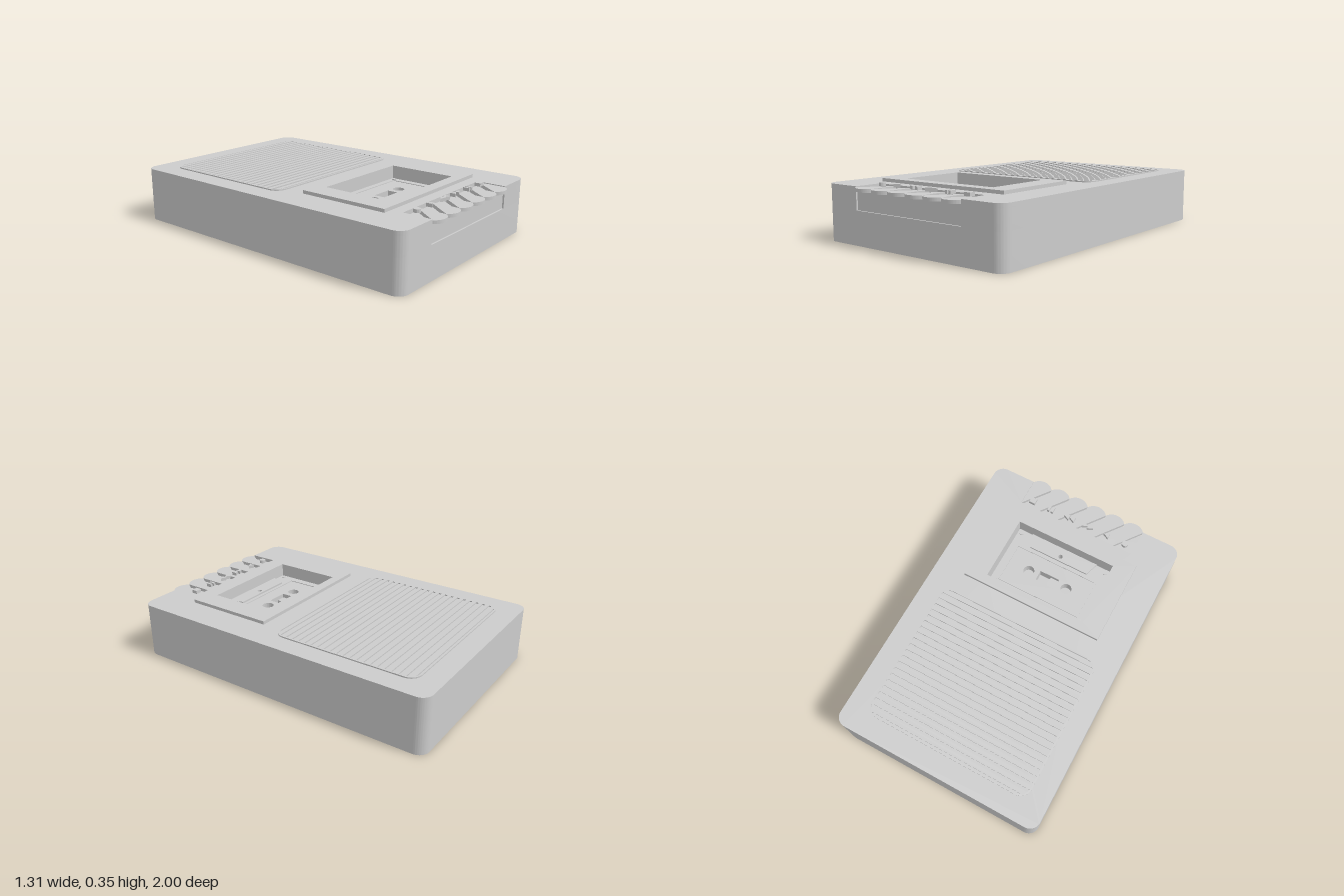
import * as THREE from 'three';
import { toCreasedNormals } from 'three/addons/utils/BufferGeometryUtils.js';

const grey = new THREE.MeshStandardMaterial({ color: 0xcccccc });

// Plan outlines are drawn in (x, -z) and extruded upwards from y0 to y1.
function slab(name, shapes, y0, y1) {
  const geo = new THREE.ExtrudeGeometry(shapes, { depth: y1 - y0, bevelEnabled: false, curveSegments: 16 });
  geo.rotateX(-Math.PI / 2).translate(0, y0, 0);
  const mesh = new THREE.Mesh(toCreasedNormals(geo, 0.6), grey);
  mesh.name = name;
  return mesh;
}

const poly = (pts) => new THREE.Shape(pts.map(([x, z]) => new THREE.Vector2(x, -z)));
const rect = (x0, x1, z0, z1) => poly([[x0, z0], [x0, z1], [x1, z1], [x1, z0]]);
const circle = (x, z, r) => new THREE.Shape().absarc(x, -z, r, 0, Math.PI * 2, false);

// Rounded rectangle, with an optional notch cut into its front edge
function rounded(w, z0, z1, r, notchW = 0, notchZ = z1) {
  const s = new THREE.Shape();
  const h = Math.PI / 2;
  s.absarc(-w + r, -z1 + r, r, 2 * h, 3 * h, false);
  if (notchW) {
    s.lineTo(-notchW, -z1);
    s.lineTo(-notchW, -notchZ);
    s.lineTo(notchW, -notchZ);
    s.lineTo(notchW, -z1);
  }
  s.absarc(w - r, -z1 + r, r, 3 * h, 4 * h, false);
  s.absarc(w - r, -z0 - r, r, 0, h, false);
  s.absarc(-w + r, -z0 - r, r, h, 2 * h, false);
  s.closePath();
  return s;
}

function withHoles(shape, ...holes) {
  shape.holes.push(...holes);
  return shape;
}

export function createModel() {
  const model = new THREE.Group();
  model.name = 'cassetteRecorder';
  const well = () => rect(-0.33, 0.33, 0.225, 0.65);

  // Case: solid base, then layers open for the cassette well and the keys
  const body = new THREE.Group();
  body.name = 'case';
  body.add(
    slab('caseBase', rounded(0.655, -1, 0.965, 0.065), 0, 0.2),
    slab('caseMiddle', withHoles(rounded(0.655, -1, 0.965, 0.065, 0.395, 0.955), well()), 0.2, 0.31),
    slab('caseTop', withHoles(rounded(0.655, -1, 0.965, 0.065, 0.395, 0.79), well()), 0.31, 0.335)
  );
  model.add(body);

  // Raised frame around the cassette well
  model.add(slab('cassetteFrame', withHoles(rect(-0.46, 0.46, 0.165, 0.72), well()), 0.335, 0.355));

  // Cassette with spool holes, window, guide hole and thicker front edge
  const cassette = new THREE.Group();
  cassette.name = 'cassette';
  const shell = withHoles(rect(-0.325, 0.325, 0.23, 0.645),
    circle(-0.132, 0.405, 0.035), circle(0.132, 0.405, 0.035),
    rect(-0.066, 0.066, 0.373, 0.44), circle(0, 0.585, 0.014));
  cassette.add(slab('cassetteShell', shell, 0.22, 0.275));
  const edge = withHoles(poly([[-0.2, 0.555], [-0.23, 0.645], [0.23, 0.645], [0.2, 0.555]]), circle(0, 0.585, 0.014));
  cassette.add(slab('cassetteFrontEdge', edge, 0.275, 0.285));
  cassette.add(slab('labelBorder', withHoles(rect(-0.28, 0.28, 0.265, 0.535), rect(-0.272, 0.272, 0.273, 0.527)), 0.275, 0.279));
  cassette.add(slab('tapeReel', withHoles(circle(-0.132, 0.405, 0.127), circle(-0.132, 0.405, 0.036)), 0.215, 0.25));
  for (const x of [-0.3, 0.3])
    for (const z of [0.255, 0.62]) cassette.add(slab('cassetteScrew', circle(x, z, 0.013), 0.275, 0.28));
  model.add(cassette);

  // Speaker grille: thin border with slats that follow its rounded corners
  const grille = new THREE.Group();
  grille.name = 'speakerGrille';
  const gw = 0.53, g0 = -0.87, g1 = 0.04, gr = 0.07, count = 21;
  grille.add(slab('grilleBorder', withHoles(rounded(gw, g0, g1, gr), rounded(gw - 0.01, g0 + 0.01, g1 - 0.01, gr - 0.01)), 0.335, 0.342));
  const pitch = (g1 - g0 - 0.02) / count;
  for (let i = 0; i < count; i++) {
    const z = g0 + 0.01 + pitch * (i + 0.5);
    const half = pitch * 0.3;
    const reach = (zz) => {
      const d = Math.max(0, g0 + gr - zz, zz - g1 + gr);
      return gw - gr + Math.sqrt(Math.max(0, gr * gr - d * d)) - 0.008;
    };
    const a = reach(z - half), b = reach(z + half);
    grille.add(slab('grilleSlat', poly([[-a, z - half], [-b, z + half], [b, z + half], [a, z - half]]), 0.335, 0.342));
  }
  model.add(grille);

  // Six keys with scalloped fronts
  const keys = new THREE.Group();
  keys.name = 'keys';
  const keyW = 0.79 / 6;
  const keyX = (i) => (i - 2.5) * keyW;
  for (let i = 0; i < 6; i++) {
    const x = keyX(i), r = 0.08, half = keyW / 2;
    const a = Math.asin(half / r);
    const s = new THREE.Shape();
    s.moveTo(x - half, -0.79);
    s.absarc(x, -(1 - r), r, -Math.PI / 2 - a, -Math.PI / 2 + a, false);
    s.lineTo(x + half, -0.79);
    s.closePath();
    keys.add(slab('key', s, 0.31, 0.33));
  }
  model.add(keys);

  // Raised symbols: record, play, rewind, forward, pause, stop
  const zi = 0.832;
  const tri = (x, dir) => poly([[x - dir * 0.018, zi - 0.018], [x - dir * 0.018, zi + 0.018], [x + dir * 0.018, zi]]);
  const bar = (x, w) => rect(x - w, x + w, zi - 0.019, zi + 0.019);
  const symbols = {
    recordSymbol: [circle(keyX(0), zi, 0.02)],
    playSymbol: [tri(keyX(1), 1)],
    rewindSymbol: [tri(keyX(2) - 0.019, -1), tri(keyX(2) + 0.019, -1)],
    forwardSymbol: [tri(keyX(3) - 0.019, 1), tri(keyX(3) + 0.019, 1)],
    pauseSymbol: [bar(keyX(4) - 0.013, 0.007), bar(keyX(4) + 0.013, 0.007)],
    stopSymbol: [bar(keyX(5), 0.02)],
  };
  for (const [name, shapes] of Object.entries(symbols)) model.add(slab(name, shapes, 0.33, 0.35));

  return model;
}
